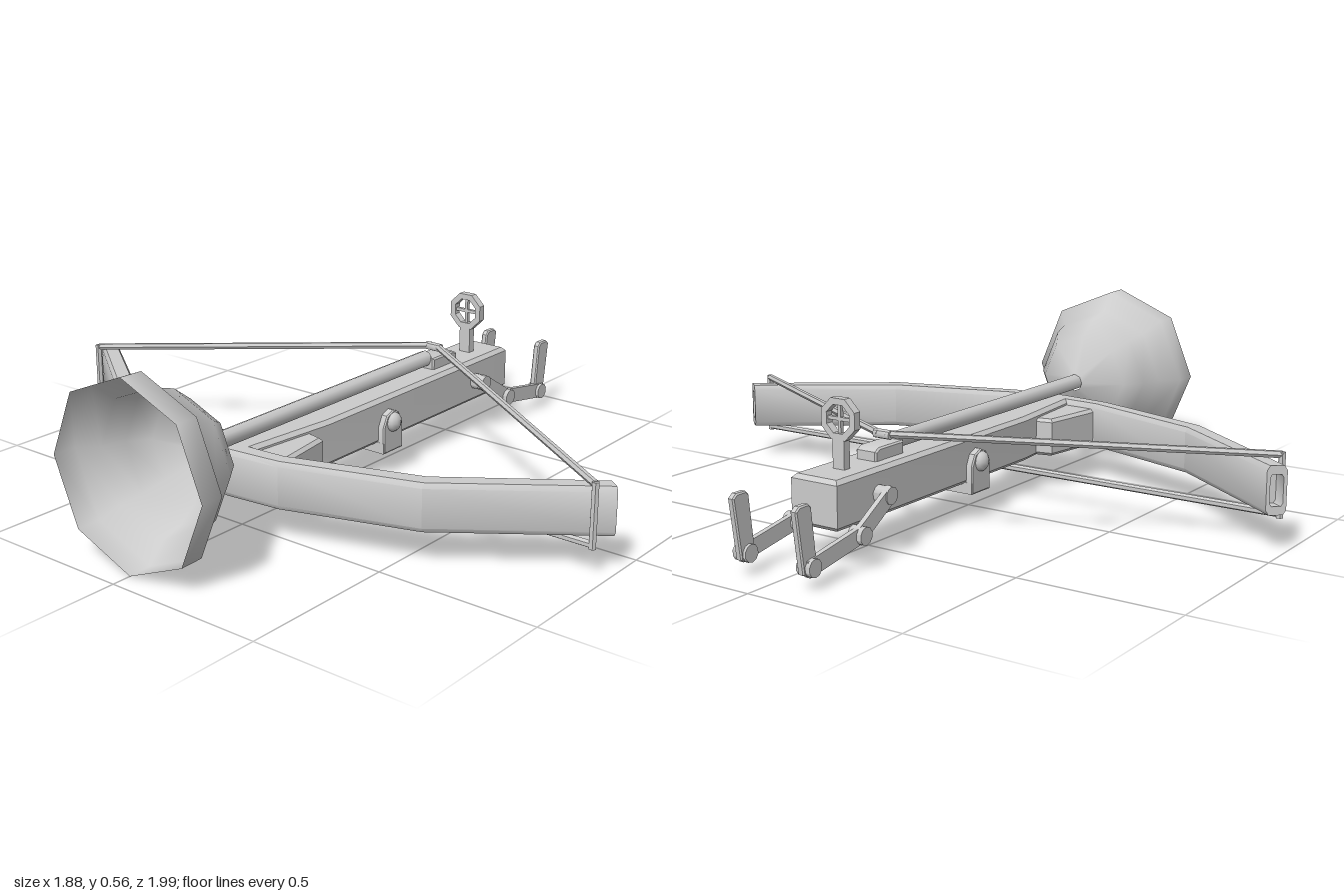
import * as THREE from 'three';
import { toCreasedNormals } from 'three/addons/utils/BufferGeometryUtils.js';

const mat = new THREE.MeshStandardMaterial({ color: 0xcccccc, side: THREE.DoubleSide });
const V = (x, y, z) => new THREE.Vector3(x, y, z);

function add(parent, name, geo, pos = [0, 0, 0], crease = 0.6) {
  const mesh = new THREE.Mesh(crease ? toCreasedNormals(geo, crease) : geo, mat);
  mesh.name = name;
  mesh.position.set(...pos);
  parent.add(mesh);
  return mesh;
}

// straight round bar between two points
function rod(parent, name, a, b, r, sides = 8) {
  const geo = new THREE.CylinderGeometry(r, r, a.distanceTo(b), sides);
  const mesh = add(parent, name, geo, a.clone().add(b).multiplyScalar(0.5).toArray(), 0.9);
  mesh.quaternion.setFromUnitVectors(V(0, 1, 0), b.clone().sub(a).normalize());
  return mesh;
}

// outline extruded between two depths, with bevelled edges inside the given size
function slab(points, d0, d1, bevel) {
  const shape = new THREE.Shape(points.map(p => new THREE.Vector2(...p)));
  const geo = new THREE.ExtrudeGeometry(shape, {
    depth: d1 - d0 - 2 * bevel, bevelEnabled: bevel > 0, bevelThickness: bevel,
    bevelSize: bevel, bevelOffset: -bevel, bevelSegments: 1,
  });
  return geo.translate(0, 0, d0 + bevel);
}

// outline given as [x, z], extruded upward
const plan = (points, y0, y1, bevel) => slab(points.map(([x, z]) => [x, -z]), y0, y1, bevel).rotateX(-Math.PI / 2);

// bow limbs: chamfered rectangle lofted through outer/inner edge pairs, recessed tips
function bowGeometry() {
  const half = [ // outer x, z, inner x, z
    [-0.115, 0.995, -0.078, 0.95], [-0.42, 0.58, -0.36, 0.555], [-0.545, 0.18, -0.49, 0.16],
  ];
  const stations = [...half, [-0.565, 0, -0.5, 0],
    ...half.slice().reverse().map(([a, b, c, d]) => [a, -b, c, -d])];
  const section = [[0.15, 0], [0.85, 0], [1, 0.1], [1, 0.9], [0.85, 1], [0.15, 1], [0, 0.9], [0, 0.1]];
  const ring = ([ox, oz, ix, iz], s = 1, back = 0) => section.map(([u, v]) => {
    const a = 0.5 + (u - 0.5) * s, h = 0.5 + (v - 0.5) * s;
    return [ox + (ix - ox) * a - 0.58 * back, 0.11 + 0.143 * h, (oz + (iz - oz) * a) - Math.sign(oz) * 0.81 * back];
  });
  const first = stations[0], last = stations[stations.length - 1];
  const rings = [ring(first, 0.65, 0.04), ring(first, 0.65), ...stations.map(s => ring(s)),
    ring(last, 0.65), ring(last, 0.65, 0.04)];
  const n = section.length, index = [], end = (rings.length - 1) * n;
  for (let k = 0; k < rings.length - 1; k++) {
    for (let j = 0; j < n; j++) {
      const a = k * n + j, b = k * n + (j + 1) % n;
      index.push(a, a + n, b, b, a + n, b + n);
    }
  }
  for (let j = 1; j < n - 1; j++) index.push(0, j, j + 1, end, end + j + 1, end + j);
  const geo = new THREE.BufferGeometry();
  geo.setAttribute('position', new THREE.Float32BufferAttribute(rings.flat(2), 3));
  geo.setIndex(index);
  return geo;
}

export function createModel() {
  const model = new THREE.Group();
  model.name = 'plungerCrossbow';

  // stock, narrowing towards the bow
  add(model, 'stock', plan([[-0.55, -0.05], [-0.5, -0.05], [-0.2, -0.08], [0.73, -0.08],
    [0.73, 0.08], [-0.2, 0.08], [-0.5, 0.05], [-0.55, 0.05]], 0.11, 0.253, 0.012));
  add(model, 'bow', bowGeometry());

  // plunger cup, open at the front
  const profile = [[0.28, -0.94], [0.278, -0.865], [0.22, -0.82], [0.2, -0.75], [0.155, -0.69], [0.028, -0.63]];
  const cup = new THREE.LatheGeometry(profile.map(p => new THREE.Vector2(...p)), 8).rotateZ(-Math.PI / 2);
  add(model, 'plungerCup', cup, [0, 0.283, 0], 0);
  rod(model, 'plungerShaft', V(-0.64, 0.285, 0), V(0.38, 0.285, 0), 0.026);

  // latch and string catch
  add(model, 'latch', slab([[0.375, 0.24], [0.505, 0.24], [0.505, 0.28], [0.485, 0.29], [0.375, 0.29]], -0.036, 0.036, 0.005));
  rod(model, 'stringCatch', V(0.425, 0.313, -0.028), V(0.425, 0.313, 0.028), 0.014);
  rod(model, 'lowerString', V(-0.165, 0.095, -0.955), V(-0.165, 0.095, 0.955), 0.011, 6);

  // ring sight on a post
  const sight = new THREE.Group();
  sight.name = 'sight';
  model.add(sight);
  add(sight, 'sightPost', new THREE.BoxGeometry(0.025, 0.1, 0.04), [0.612, 0.29, 0]);
  const octagon = r => Array.from({ length: 8 }, (_, i) => {
    const a = (i + 0.5) * Math.PI / 4;
    return new THREE.Vector2(r * Math.cos(a), r * Math.sin(a));
  });
  const ringShape = new THREE.Shape(octagon(0.063));
  ringShape.holes.push(new THREE.Path(octagon(0.043)));
  const ring = new THREE.ExtrudeGeometry(ringShape, { depth: 0.025, bevelEnabled: false });
  add(sight, 'sightRing', ring.translate(0, 0, -0.0125).rotateY(Math.PI / 2), [0.612, 0.393, 0]);
  for (const turn of [0, Math.PI / 2]) {
    add(sight, 'crosshair', new THREE.BoxGeometry(0.012, 0.1, 0.01), [0.612, 0.393, 0]).rotation.x = turn;
  }

  // strap passing under the stock
  add(model, 'strapBase', new THREE.BoxGeometry(0.095, 0.035, 0.2), [0.08, 0.0975, 0]);

  for (const s of [1, -1]) {
    // fillet between stock and bow
    add(model, 'bowSocket', plan([[-0.52, 0.03 * s], [-0.5, 0.157 * s], [-0.285, 0.125 * s], [-0.27, 0.05 * s]], 0.115, 0.235, 0.01));

    // string halves and tip loops
    const tip = V(-0.165, 0.268, 0.955 * s);
    rod(model, 'string', tip, V(0.43, 0.315, 0.01 * s), 0.011, 6);
    rod(model, 'stringLoop', V(-0.165, 0.083, 0.955 * s), V(-0.165, 0.275, 0.955 * s), 0.011, 6);

    // strap cheek with its round-headed bolt
    const [z0, z1] = [0.075 * s, 0.102 * s].sort((a, b) => a - b);
    add(model, 'strapCheek', slab([[0.033, 0.08], [0.127, 0.08], [0.127, 0.165], [0.11, 0.2],
      [0.08, 0.213], [0.05, 0.2], [0.033, 0.165]], z0, z1, 0.004));
    add(model, 'strapBolt', new THREE.SphereGeometry(0.031, 10, 8).scale(1, 1, 0.8), [0.08, 0.175, 0.1 * s], 0);

    // folding crank: two links, three pivots and a flat handle
    const crank = new THREE.Group();
    crank.name = 'crank';
    model.add(crank);
    const joints = [V(0.55, 0.18, 0.105 * s), V(0.68, 0.1, 0.117 * s), V(0.885, 0.065, 0.112 * s)];
    joints.forEach((p, i) => {
      const depth = i ? 0.024 : 0.028;
      rod(crank, 'pivot', p.clone().setZ(p.z - depth * s), p.clone().setZ(p.z + 0.022 * s), 0.026, 10);
    });
    for (let i = 0; i < 2; i++) {
      const a = joints[i], b = joints[i + 1], len = a.distanceTo(b);
      const link = add(crank, 'crankLink', new THREE.BoxGeometry(len + 0.03, 0.048, 0.016),
        [(a.x + b.x) / 2, (a.y + b.y) / 2, 0.116 * s]);
      link.rotation.z = Math.atan2(b.y - a.y, b.x - a.x);
    }
    add(crank, 'crankHandle', slab([[0.858, 0.05], [0.885, 0.036], [0.915, 0.05], [0.94, 0.225],
      [0.925, 0.237], [0.89, 0.237], [0.878, 0.225]], -0.011, 0.011, 0.004), [0, 0, 0.108 * s]);
  }
  return model;
}
